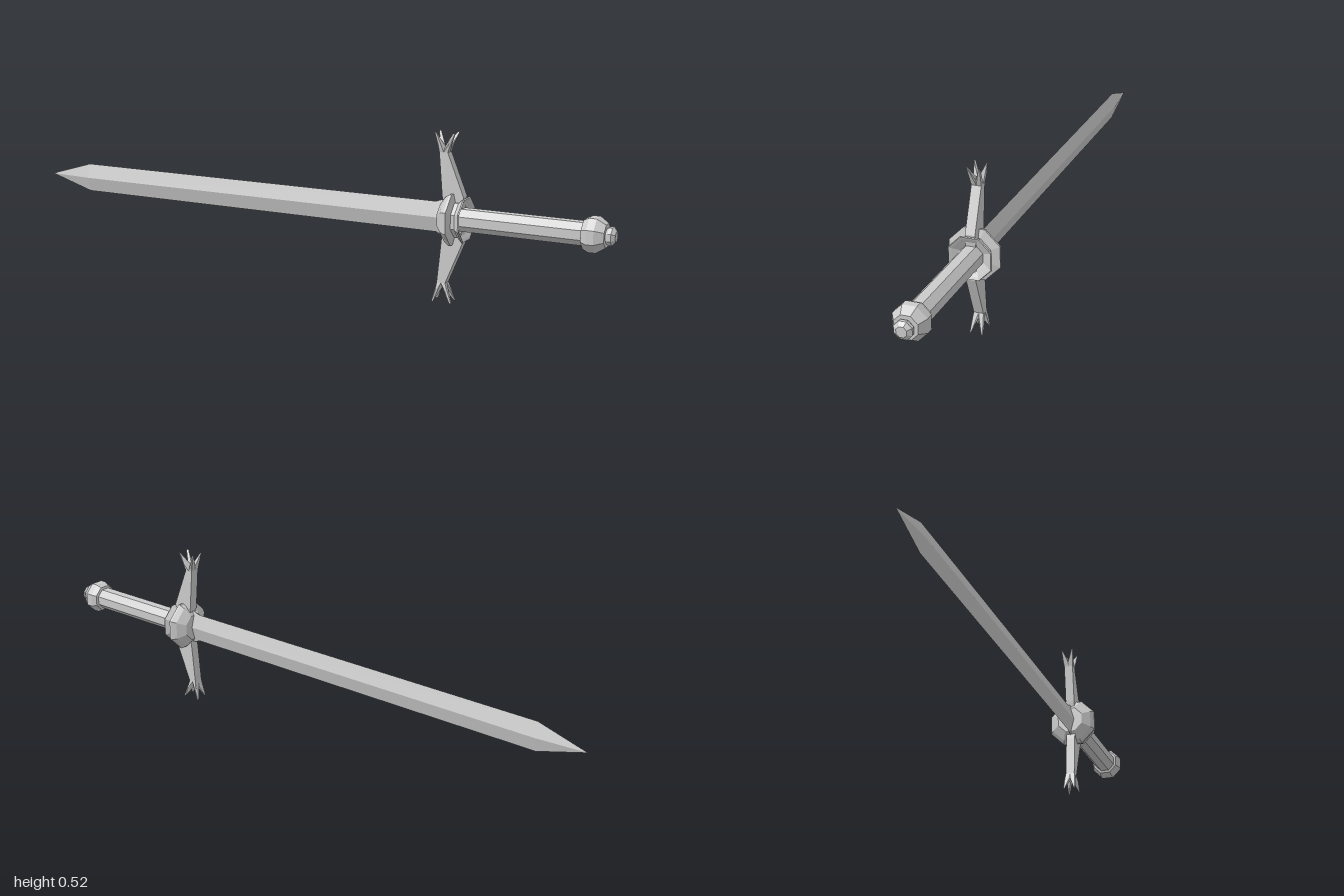
import * as THREE from 'three';
import { ConvexGeometry } from 'three/addons/geometries/ConvexGeometry.js';

const CY = 0.26; // height of the sword's long axis
const material = new THREE.MeshStandardMaterial({ color: 0xcccccc, flatShading: true, side: THREE.DoubleSide });

function part(name, geometry, parent) {
  const mesh = new THREE.Mesh(geometry, material);
  mesh.name = name;
  parent.add(mesh);
  return mesh;
}

// Faceted solid turned around the x axis; profile entries are [x, radius]
function turned(profile, sides, phiStart) {
  const pts = profile.map(([x, r]) => new THREE.Vector2(r, x));
  return new THREE.LatheGeometry(pts, sides, phiStart).rotateZ(-Math.PI / 2);
}

// Octagonal version with flats facing up and sideways; radii measured to the flats
function octagon(profile) {
  const k = 1 / Math.cos(Math.PI / 8);
  return turned(profile.map(([x, r]) => [x, r * k]), 8, Math.PI / 8);
}

const hull = (points) => new ConvexGeometry(points.map((p) => new THREE.Vector3(...p)));

// One guard arm, pointing up from the sword's axis, with a four-pronged end
function guardArm() {
  const arm = new THREE.Group();
  const corners = [];
  for (const z of [-0.015, 0.015]) {
    corners.push([0.485, 0, z], [0.535, 0, z], [0.475, 0.07, z], [0.543, 0.07, z], [0.463, 0.2, z], [0.49, 0.2, z]);
  }
  part('guardArmBar', hull(corners), arm);

  const midX = 0.4765;
  const outline = [
    { neck: 0.463, bulge: 0.461, tip: 0.449, tipIn: 0.454 },
    { neck: 0.49, bulge: 0.493, tip: 0.513, tipIn: 0.507 },
  ];
  for (const o of outline) {
    for (const s of [-1, 1]) {
      part('guardProng', hull([
        [o.neck, 0.2, 0], [o.neck, 0.2, 0.015 * s], [midX, 0.2, 0], [midX, 0.2, 0.015 * s],
        [midX, 0.217, 0], [o.bulge, 0.217, 0], [o.bulge, 0.224, 0.02 * s],
        [o.tip, 0.26, 0.02 * s], [o.tipIn, 0.26, 0.02 * s], [o.tip, 0.257, 0.016 * s],
      ]), arm);
    }
  }
  return arm;
}

export function createModel() {
  const model = new THREE.Group();
  model.name = 'sword';
  const sword = new THREE.Group();
  sword.name = 'swordAlongX';
  sword.position.y = CY;
  model.add(sword);

  // Diamond-section blade with a pointed tip and a slight flare at the root
  const blade = turned([[-1, 0], [-0.84, 1], [0.45, 1], [0.475, 1.2], [0.5, 1.2]], 4, 0);
  part('blade', blade.scale(1, 0.047, 0.013), sword);

  // Double-flared collar, hollow towards the grip
  part('guardCollar', octagon([
    [0.47, 0], [0.47, 0.042], [0.49, 0.068], [0.505, 0.078], [0.512, 0.078], [0.518, 0.052],
    [0.53, 0.052], [0.546, 0.066], [0.55, 0.064], [0.546, 0.056], [0.53, 0.03],
  ]), sword);

  // Guard arms, the lower one turned half round
  for (const side of [1, -1]) {
    const arm = guardArm();
    arm.name = side > 0 ? 'upperGuardArm' : 'lowerGuardArm';
    if (side < 0) arm.rotation.x = Math.PI;
    sword.add(arm);
  }

  part('grip', octagon([[0.52, 0.034], [0.92, 0.034]]), sword);

  // Pommel with a small end knob
  part('pommel', octagon([
    [0.905, 0.032], [0.908, 0.042], [0.925, 0.05], [0.947, 0.05], [0.973, 0.034], [0.973, 0.021],
    [0.98, 0.026], [0.99, 0.026], [1, 0.015], [1, 0],
  ]), sword);

  return model;
}
